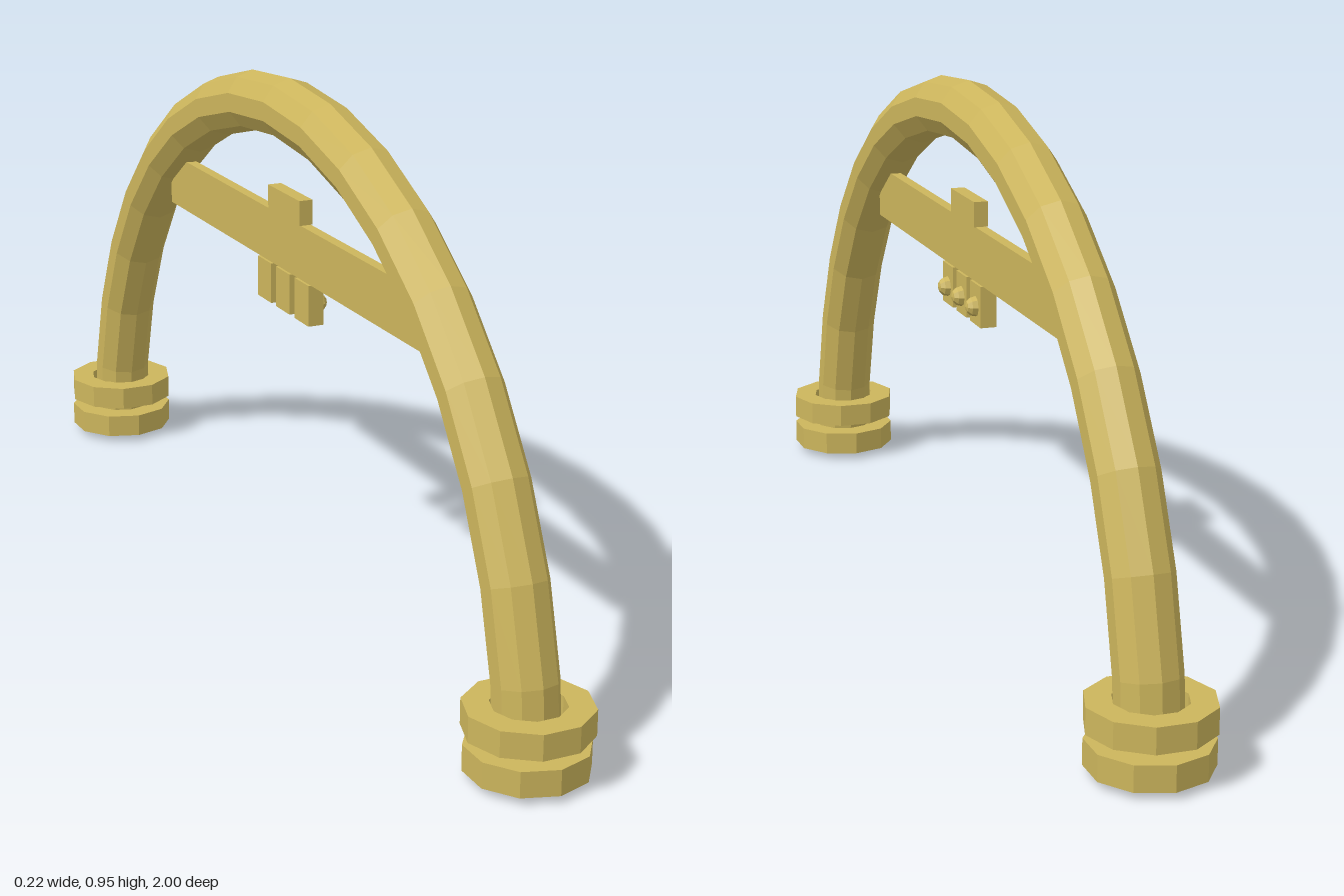
import * as THREE from 'three';

const brass = new THREE.MeshStandardMaterial({ color: 0xccb55c, flatShading: true });
brass.name = 'brass';

function add(parent, name, geometry, x = 0, y = 0, z = 0) {
  const mesh = new THREE.Mesh(geometry, brass);
  mesh.name = name;
  mesh.position.set(x, y, z);
  parent.add(mesh);
  return mesh;
}

// Ten-sided collar with a square section and an open centre
function collar(inner, outer, height, turn) {
  const h = height / 2;
  const profile = [[inner, -h], [outer, -h], [outer, h], [inner, h], [inner, -h]]
    .map(([r, y]) => new THREE.Vector2(r, y));
  return new THREE.LatheGeometry(profile, 10, turn);
}

export function createModel() {
  const model = new THREE.Group();
  model.name = 'arch';
  const arcRadius = 0.894, pipeRadius = 0.056;

  // Half-circle pipe running front to back
  const pipe = new THREE.TorusGeometry(arcRadius, pipeRadius, 10, 18, Math.PI);
  add(model, 'archPipe', pipe.rotateY(Math.PI / 2));

  // Feet: pipe end cap and two collars on each side
  for (const [side, s] of [['front', 1], ['back', -1]]) {
    const foot = new THREE.Group();
    foot.name = side + 'Foot';
    const cap = new THREE.CircleGeometry(pipeRadius, 10, Math.PI / 2).rotateX(Math.PI / 2);
    add(foot, 'pipeCap', cap, 0, 0, s * arcRadius);
    add(foot, 'lowerCollar', collar(0.06, 0.105, 0.045, 0), 0, 0.035, s * 0.893);
    add(foot, 'upperCollar', collar(0.063, 0.108, 0.045, Math.PI / 2), 0, 0.1, s * 0.893);
    model.add(foot);
  }

  // Crossbar with a block on top
  add(model, 'crossbar', new THREE.BoxGeometry(0.02, 0.1, 1.1), 0, 0.645, 0);
  add(model, 'topBlock', new THREE.BoxGeometry(0.026, 0.046, 0.135), 0, 0.718, 0);

  // Three hanging tabs, each with a round stud on the left face
  for (const z of [-0.081, 0, 0.081]) {
    const tab = new THREE.Group();
    tab.name = 'tab';
    tab.position.set(0, 0.557, z);
    add(tab, 'tabPlate', new THREE.BoxGeometry(0.03, 0.076, 0.06));
    add(tab, 'stud', new THREE.SphereGeometry(0.019, 8, 6).rotateZ(Math.PI / 2), 0.015, -0.004, 0);
    model.add(tab);
  }
  return model;
}
